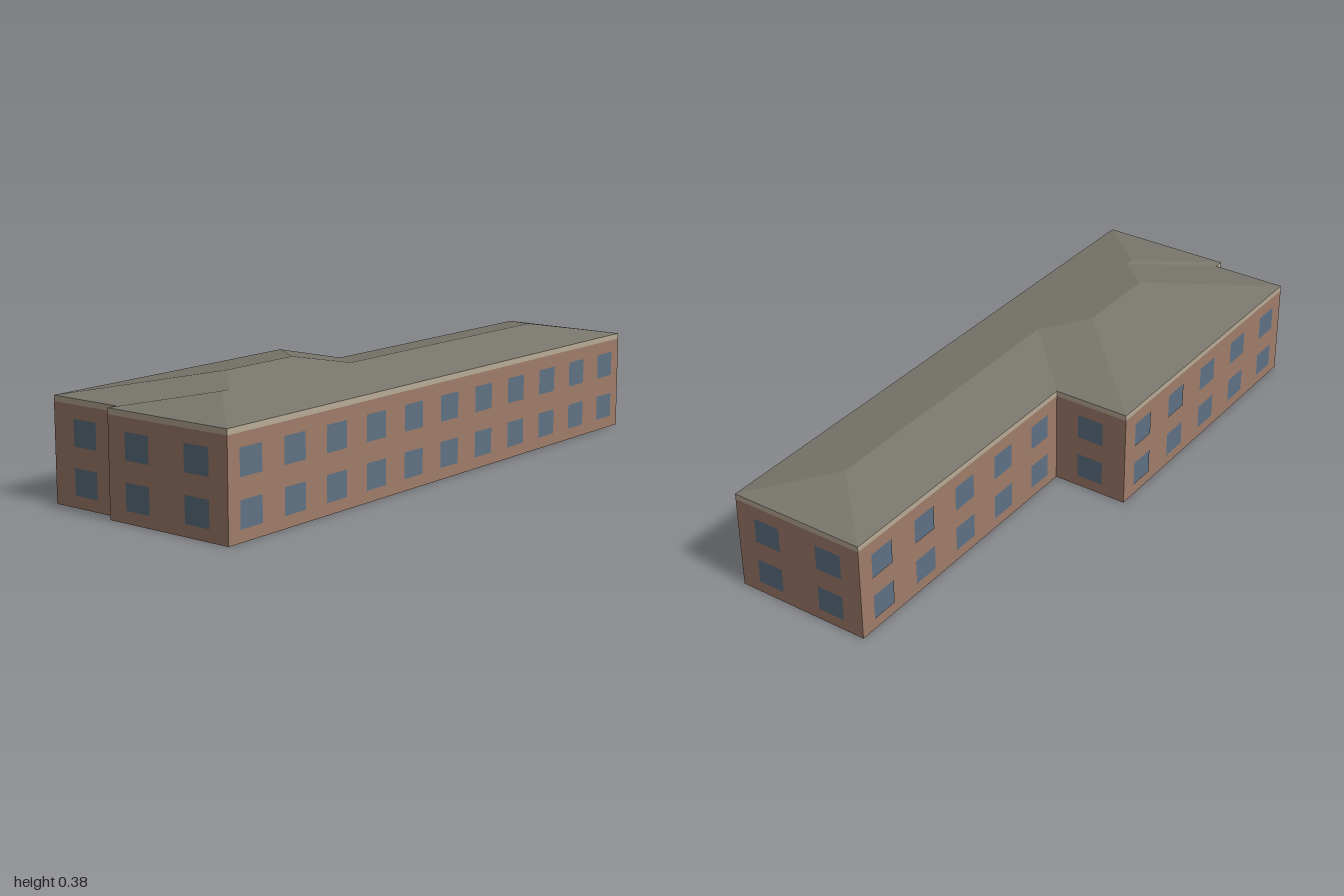
import * as THREE from 'three';

const brick = new THREE.MeshStandardMaterial({ color: 0xa07c6a, side: THREE.DoubleSide });
brick.name = 'brick';
const trim = new THREE.MeshStandardMaterial({ color: 0xb8aa95, side: THREE.DoubleSide });
trim.name = 'trim';
const glass = new THREE.MeshStandardMaterial({ color: 0x5f7183 });
glass.name = 'glass';
const slate = new THREE.MeshStandardMaterial({ color: 0x7a776e, side: THREE.DoubleSide });
slate.name = 'slate';

const WALL_TOP = 0.303, EAVE = 0.321, SLOPE = 0.179;

// Plan: a long main block (X1..X2, -1..1) and a wider wing (-X2..X2, ZB..ZF)
const X1 = -0.097, X2 = 0.35, ZB = -0.025, ZF = 0.967;
const half = (X2 - X1) / 2, ridge = X1 + half;
const footprint = [
  [X2, 1], [X2, -1], [X1, -1], [X1, ZB], [-X2, ZB], [-X2, ZF], [X1, ZF], [X1, 1],
];

function plane(name, w, h, material, x, y, z) {
  const mesh = new THREE.Mesh(new THREE.PlaneGeometry(w, h), material);
  mesh.name = name;
  mesh.position.set(x, y, z);
  return mesh;
}

// One wall with its trim band and two rows of evenly spaced windows
function makeWall([ax, az], [bx, bz]) {
  const wall = new THREE.Group();
  wall.name = 'wall';
  const length = Math.hypot(bx - ax, bz - az);
  wall.position.set((ax + bx) / 2, 0, (az + bz) / 2);
  wall.rotation.y = Math.atan2(az - bz, bx - ax);
  wall.add(plane('brickwork', length, WALL_TOP, brick, 0, WALL_TOP / 2, 0));
  wall.add(plane('trimBand', length, EAVE - WALL_TOP, trim, 0, (EAVE + WALL_TOP) / 2, 0));
  const count = Math.floor(length / 0.18);
  for (let i = 0; i < count; i++) {
    const x = length * ((i + 0.5) / count - 0.5);
    for (const y of [0.078, 0.222]) wall.add(plane('window', 0.09, 0.081, glass, x, y, 0.002));
  }
  return wall;
}

// Roof height: the higher of the two overlapping hip roofs
const hip = (x, z, x0, x1, z0, z1) => Math.min(x - x0, x1 - x, z - z0, z1 - z);
const roofHeight = (x, z) =>
  EAVE + SLOPE * Math.max(0, hip(x, z, X1, X2, -1, 1), hip(x, z, -X2, X2, ZB, ZF));

// One flat roof slope from its outline in plan
function makeSlope(name, outline) {
  const shape = new THREE.Shape(outline.map(([x, z]) => new THREE.Vector2(x, -z)));
  const geometry = new THREE.ShapeGeometry(shape).rotateX(-Math.PI / 2);
  const p = geometry.attributes.position;
  for (let i = 0; i < p.count; i++) p.setY(i, roofHeight(p.getX(i), p.getZ(i)));
  geometry.computeVertexNormals();
  const mesh = new THREE.Mesh(geometry, slate);
  mesh.name = name;
  return mesh;
}

export function createModel() {
  const model = new THREE.Group();
  model.name = 'building';

  const walls = new THREE.Group();
  walls.name = 'walls';
  footprint.forEach((a, i) => walls.add(makeWall(a, footprint[(i + 1) % footprint.length])));
  model.add(walls);

  // Ridge ends and valley ends in plan
  const backApex = [ridge, -1 + half], frontApex = [ridge, 1 - half];
  const backValley = [ridge, ZB + half], frontValley = [ridge, ZF - half];
  const wingBack = [0, ZB + X2], wingFront = [0, ZF - X2];

  const roof = new THREE.Group();
  roof.name = 'roof';
  roof.add(
    makeSlope('rightSlope', [[X2, 1], [X2, -1], backApex, backValley, wingBack, wingFront, frontValley, frontApex]),
    makeSlope('backHip', [[X2, -1], [X1, -1], backApex]),
    makeSlope('mainSlope', [[X1, -1], [X1, ZB], backValley, backApex]),
    makeSlope('wingBackHip', [[X1, ZB], [-X2, ZB], wingBack, backValley]),
    makeSlope('wingSlope', [[-X2, ZB], [-X2, ZF], wingFront, wingBack]),
    makeSlope('wingFrontHip', [[-X2, ZF], [X1, ZF], frontValley, wingFront]),
    makeSlope('stepSlope', [[X1, ZF], [X1, 1], frontApex, frontValley]),
    makeSlope('frontHip', [[X1, 1], [X2, 1], frontApex]),
  );
  model.add(roof);
  return model;
}
